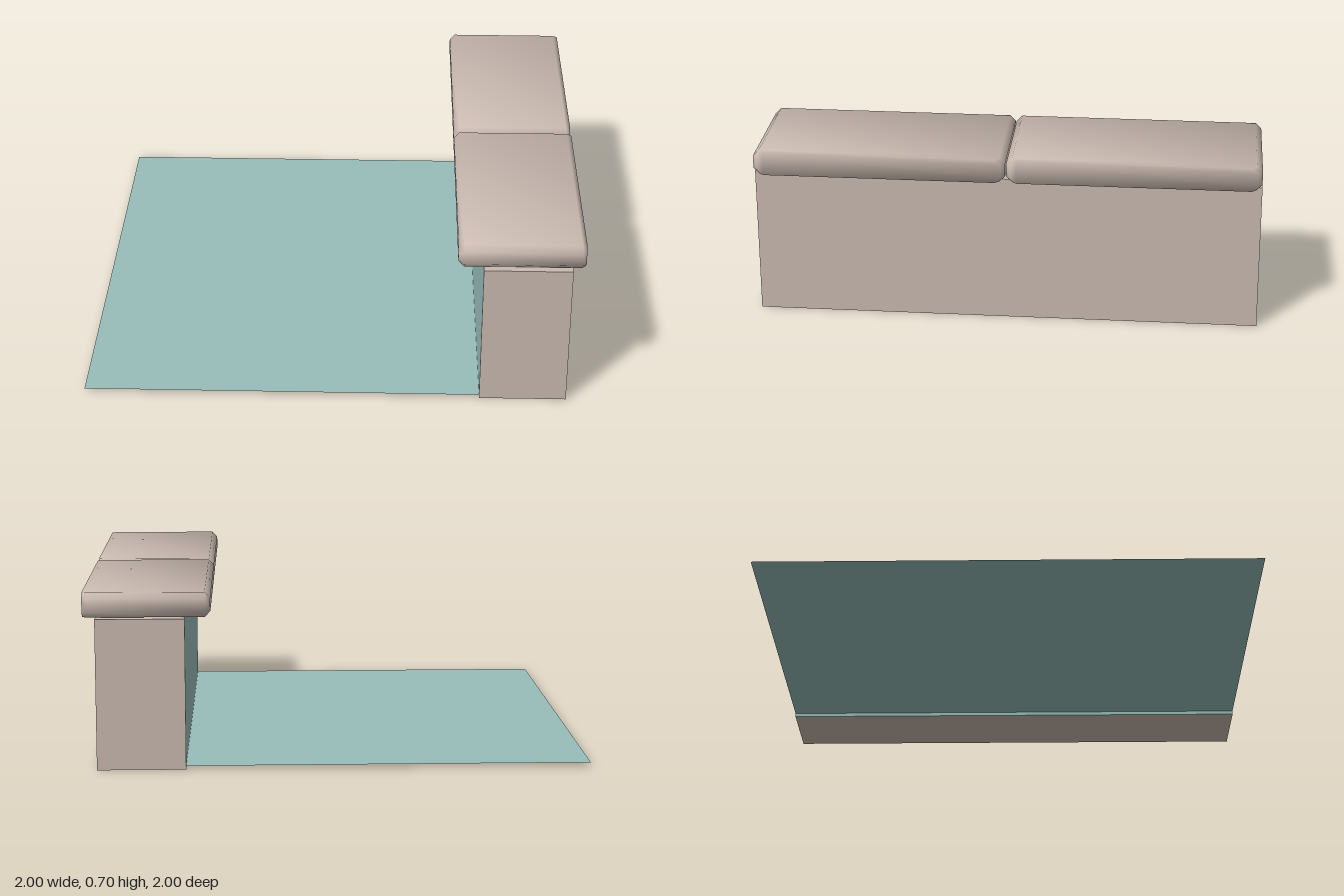
import * as THREE from 'three';

const stone = new THREE.MeshStandardMaterial({ color: 0xc9b9b0 });
stone.name = 'warm stone';
const teal = new THREE.MeshStandardMaterial({ color: 0x98bebb, side: THREE.DoubleSide });
teal.name = 'teal lining';

// Soft shading: every face counts equally in the shared corner normals.
function softenNormals(geometry) {
  const pos = geometry.attributes.position;
  const index = geometry.index.array;
  const sums = Array.from({ length: pos.count }, () => new THREE.Vector3());
  const tri = new THREE.Triangle();
  const n = new THREE.Vector3();
  for (let i = 0; i < index.length; i += 3) {
    tri.setFromAttributeAndIndices(pos, index[i], index[i + 1], index[i + 2]);
    tri.getNormal(n);
    for (let k = 0; k < 3; k++) sums[index[i + k]].add(n);
  }
  const normals = sums.flatMap((v) => v.normalize().toArray());
  geometry.setAttribute('normal', new THREE.Float32BufferAttribute(normals, 3));
}

// Coping slab: eight-sided sections lofted along x, with a rounded inner edge.
function slabGeometry(halfDepth, halfHeight, chamfer) {
  const stations = [ // x, height inset, depth inset
    [0.5, 0.022, 0.012],
    [0.522, 0, 0],
    [0.983, 0, 0],
    [1.0, 0, 0.017],
  ];
  const points = [];
  for (const [x, dy, dz] of stations) {
    const h = halfHeight - dy;
    const d = halfDepth - dz;
    const c = Math.min(chamfer, h * 0.6);
    const ring = [
      [h, d - c], [h - c, d], [c - h, d], [-h, d - c],
      [-h, c - d], [c - h, -d], [h - c, -d], [h, c - d],
    ];
    for (const [y, z] of ring) points.push(x, y, z);
  }
  const faces = [];
  const last = (stations.length - 1) * 8;
  for (let s = 0; s < last; s += 8) {
    for (let i = 0; i < 8; i++) {
      const j = (i + 1) % 8;
      faces.push(s + i, s + j, s + 8 + j, s + i, s + 8 + j, s + 8 + i);
    }
  }
  // End faces
  for (let i = 1; i < 7; i++) {
    faces.push(0, i + 1, i);
    faces.push(last, last + i, last + i + 1);
  }
  const geometry = new THREE.BufferGeometry();
  geometry.setAttribute('position', new THREE.Float32BufferAttribute(points, 3));
  geometry.setIndex(faces);
  softenNormals(geometry);
  return geometry;
}

export function createModel() {
  const model = new THREE.Group();
  model.name = 'poolEdge';

  // Basin floor
  const floor = new THREE.Mesh(new THREE.PlaneGeometry(1.6, 2).rotateX(-Math.PI / 2), teal);
  floor.name = 'basinFloor';
  floor.position.set(-0.2, 0.015, 0);
  model.add(floor);

  // Wall, lined on the basin side
  const wall = new THREE.Mesh(
    new THREE.BoxGeometry(0.35, 0.6, 2),
    [stone, teal, stone, stone, stone, stone],
  );
  wall.name = 'wall';
  wall.position.set(0.775, 0.3, 0);
  model.add(wall);

  // Two coping slabs
  const slab = slabGeometry(0.498, 0.049, 0.023);
  for (const side of [-1, 1]) {
    const coping = new THREE.Mesh(slab, stone);
    coping.name = side > 0 ? 'frontCoping' : 'backCoping';
    coping.position.set(0, 0.653, side * 0.5);
    model.add(coping);
  }
  return model;
}
